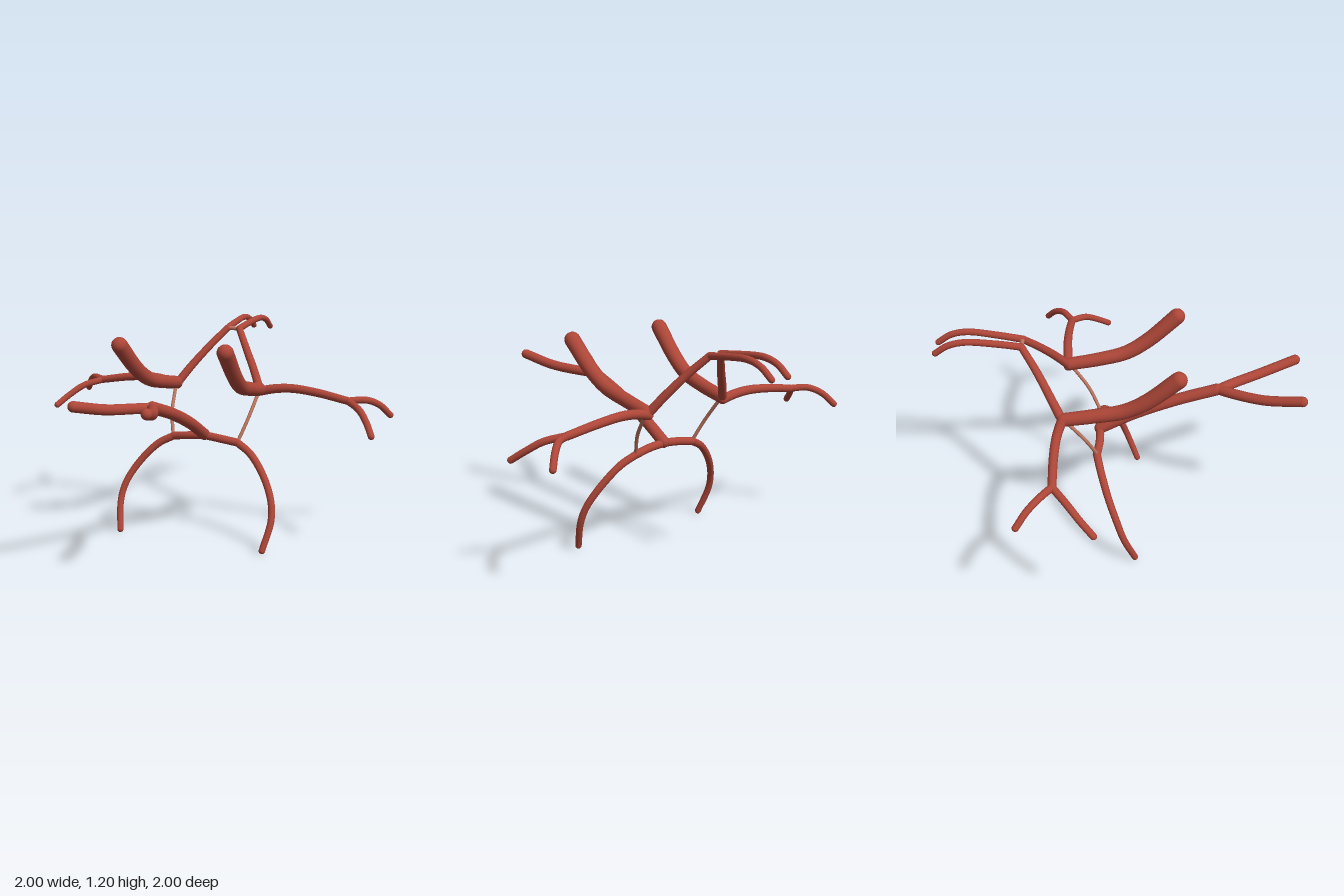
import * as THREE from 'three';

export function createModel() {
  const root = new THREE.Group();
  const red = new THREE.MeshStandardMaterial({ color: 0xad4638 });
  red.name = 'brick red';
  const tan = new THREE.MeshStandardMaterial({ color: 0xbb7660 });
  tan.name = 'pale clay';

  // Round-ended tube through points, tapering from r0 to r1
  function rod(name, pts, r0, r1 = r0, mat = red) {
    const group = new THREE.Group();
    group.name = name;
    const curve = new THREE.CatmullRomCurve3(pts.map(p => new THREE.Vector3(...p)));
    const steps = 32, sides = 16;
    const geo = new THREE.TubeGeometry(curve, steps, 1, sides);
    const pos = geo.attributes.position, v = new THREE.Vector3();
    for (let i = 0; i <= steps; i++) {
      const centre = curve.getPointAt(i / steps);
      const r = r0 + (r1 - r0) * i / steps;
      for (let j = 0; j <= sides; j++) {
        const k = i * (sides + 1) + j;
        v.fromBufferAttribute(pos, k).sub(centre).multiplyScalar(r).add(centre);
        pos.setXYZ(k, v.x, v.y, v.z);
      }
    }
    group.add(new THREE.Mesh(geo, mat));
    [[pts[0], r0], [pts[pts.length - 1], r1]].forEach(([p, r]) => {
      const cap = new THREE.Mesh(new THREE.SphereGeometry(r, 16, 10), mat);
      cap.position.set(...p);
      group.add(cap);
    });
    root.add(group);
  }

  // Central forward stem
  rod('centralStem', [[0, 0.59, -0.11], [0, 0.695, 0.08], [0, 0.79, 0.3], [0, 0.868, 0.53]], 0.033);

  for (const s of [1, -1]) {
    const side = s > 0 ? 'left' : 'right';
    const pair = (name, pts, r0, r1, mat) =>
      rod(side + name, pts.map(([x, y, z]) => [x * s, y, z]), r0, r1, mat);

    // Front fork
    pair('FrontFork', [[0, 0.868, 0.54], [0.05, 0.875, 0.62], [0.13, 0.893, 0.78], [0.2, 0.938, 0.97]], 0.028);
    // Rear crossbar and bowed leg
    pair('Crossbar', [[0, 0.585, -0.11], [0.1, 0.575, -0.108], [0.2, 0.56, -0.12]], 0.023);
    pair('Leg', [[0.2, 0.56, -0.12], [0.29, 0.51, -0.095], [0.39, 0.4, -0.05], [0.455, 0.28, 0],
      [0.472, 0.18, 0.035], [0.445, 0.02, 0.098]], 0.022, 0.018);
    // Thin strand joining crossbar and shoulder
    pair('Strand', [[0.205, 0.57, -0.12], [0.24, 0.69, -0.18], [0.263, 0.83, -0.28]], 0.01, 0.01, tan);
    // Thick raised prong
    pair('Prong', [[0.265, 0.842, -0.29], [0.27, 0.875, -0.12], [0.281, 0.915, 0.03],
      [0.295, 0.99, 0.15], [0.31, 1.14, 0.31]], 0.037, 0.045);
    // Side arm with its two-way fork
    pair('Arm', [[0.262, 0.83, -0.3], [0.35, 0.85, -0.307], [0.45, 0.858, -0.315],
      [0.6, 0.845, -0.318], [0.78, 0.815, -0.312]], 0.027, 0.022);
    pair('ArmForkBack', [[0.78, 0.815, -0.312], [0.87, 0.817, -0.37], [0.93, 0.785, -0.425],
      [0.98, 0.722, -0.477]], 0.02, 0.018);
    pair('ArmForkFront', [[0.78, 0.815, -0.312], [0.87, 0.785, -0.235], [0.93, 0.735, -0.17],
      [0.98, 0.678, -0.1]], 0.02, 0.018);
    // Upper strut and backward feeler
    pair('Strut', [[0.26, 0.84, -0.3], [0.2, 0.935, -0.36], [0.12, 1.045, -0.435], [0.038, 1.15, -0.52]], 0.025, 0.02);
    pair('Feeler', [[0.038, 1.15, -0.52], [0.044, 1.17, -0.66], [0.052, 1.182, -0.82],
      [0.055, 1.16, -0.91], [0.055, 1.112, -0.98]], 0.02, 0.017);
  }

  // Thin link between the strut tops
  rod('topLink', [[-0.038, 1.15, -0.52], [0, 1.15, -0.52], [0.038, 1.15, -0.52]], 0.012, 0.012, tan);
  return root;
}
